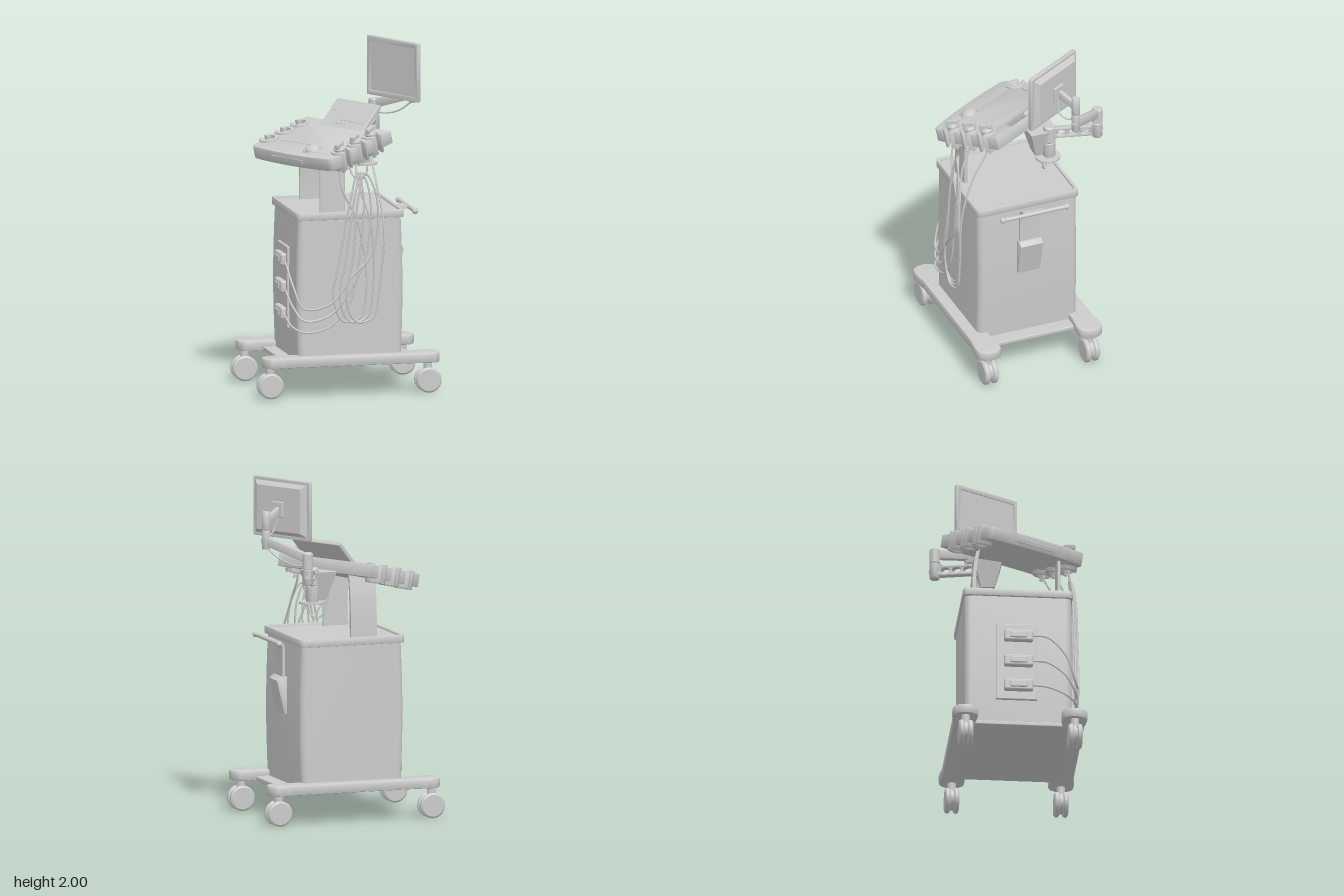
import * as THREE from 'three';
import { toCreasedNormals } from 'three/addons/utils/BufferGeometryUtils.js';
import { RoundedBoxGeometry } from 'three/addons/geometries/RoundedBoxGeometry.js';

const mat = new THREE.MeshStandardMaterial({ color: 0xcccccc, side: THREE.DoubleSide });
const V = (x, y, z) => new THREE.Vector3(x, y, z);

function add(parent, name, geo, x = 0, y = 0, z = 0) {
  const m = new THREE.Mesh(geo, mat);
  m.name = name;
  m.position.set(x, y, z);
  parent.add(m);
  return m;
}
function group(parent, name, x = 0, y = 0, z = 0) {
  const g = new THREE.Group();
  g.name = name;
  g.position.set(x, y, z);
  parent.add(g);
  return g;
}
const box = (w, h, d, r = 0.006) => new RoundedBoxGeometry(w, h, d, 2, r);
const cyl = (r, h, r2 = r) => new THREE.CylinderGeometry(r, r2, h, 28);
const lathe = pts => toCreasedNormals(new THREE.LatheGeometry(pts.map(p => new THREE.Vector2(...p)), 28).toNonIndexed(), 0.6);
// Extrusion along z with a small bevel kept inside the given depth
function extrude(shape, depth, bevel = 0, steps = 1) {
  const g = new THREE.ExtrudeGeometry(shape, { depth: depth - 2 * bevel, steps, curveSegments: 16,
    bevelEnabled: bevel > 0, bevelSize: bevel, bevelThickness: bevel, bevelOffset: -bevel, bevelSegments: 2 });
  g.translate(0, 0, bevel);
  return toCreasedNormals(g, 0.6);
}
// Plan shape (x, -z) raised from y0 to y0 + h
const slab = (shape, y0, h, bevel, steps) => extrude(shape, h, bevel, steps).rotateX(-Math.PI / 2).translate(0, y0, 0);
function roundRect(w, d, r, Type = THREE.Shape) {
  const s = new Type(), x = w / 2 - r, y = d / 2 - r;
  s.absarc(x, y, r, 0, Math.PI / 2);
  s.absarc(-x, y, r, Math.PI / 2, Math.PI);
  s.absarc(-x, -y, r, Math.PI, 1.5 * Math.PI);
  s.absarc(x, -y, r, 1.5 * Math.PI, 2 * Math.PI);
  s.closePath();
  return s;
}
const cord = (parent, name, pts, r = 0.006) => add(parent, name,
  new THREE.TubeGeometry(new THREE.CatmullRomCurve3(pts.map(p => V(...p))), pts.length * 12, r, 7));

// Rolling base: two rounded bars, a floor plate and four twin casters
function buildBase(root) {
  const g = group(root, 'base');
  add(g, 'floorPlate', box(0.77, 0.025, 0.66), 0.015, 0.193, 0.027);
  const bar = new THREE.Shape();
  bar.moveTo(-0.36, 0.064);
  bar.lineTo(0.36, 0.064);
  bar.bezierCurveTo(0.43, 0.074, 0.46, 0.078, 0.49, 0.07);
  bar.bezierCurveTo(0.54, 0.045, 0.54, -0.045, 0.49, -0.07);
  bar.bezierCurveTo(0.46, -0.078, 0.43, -0.074, 0.36, -0.064);
  bar.lineTo(-0.36, -0.064);
  bar.bezierCurveTo(-0.43, -0.074, -0.46, -0.078, -0.49, -0.07);
  bar.bezierCurveTo(-0.54, -0.045, -0.54, 0.045, -0.49, 0.07);
  bar.bezierCurveTo(-0.46, 0.078, -0.43, 0.074, -0.36, 0.064);
  for (const z of [0.345, -0.29]) {
    add(g, 'baseBar', slab(bar, 0.182, 0.058, 0.01), 0.01, 0, z);
    for (const x of [-0.47, 0.47]) {
      const c = group(g, 'caster', x, 0, z);
      add(c, 'stem', cyl(0.025, 0.07), 0, 0.16, 0);
      add(c, 'hub', cyl(0.06, 0.03).rotateX(Math.PI / 2), 0, 0.078, 0);
      for (const s of [-1, 1]) add(c, 'wheel', lathe([[0, -0.016], [0.064, -0.016], [0.074, -0.008], [0.074, 0.008], [0.064, 0.016], [0, 0.016]])
        .rotateX(Math.PI / 2), 0, 0.075, s * 0.025);
    }
  }
}

// Cabinet with gently bulged sides, rimmed lid, side handle, holster and sockets
function buildCabinet(root) {
  const g = group(root, 'cabinet', 0.01, 0, 0.03);
  const body = slab(roundRect(0.61, 0.62, 0.035), 0.2, 0.84, 0, 10), p = body.attributes.position;
  for (let i = 0; i < p.count; i++) {
    const t = (p.getY(i) - 0.2) / 0.84;
    p.setX(i, p.getX(i) * (0.985 + 0.055 * Math.sin(Math.PI * (0.1 + 0.8 * t))));
  }
  add(g, 'cabinetBody', toCreasedNormals(body, 0.6));
  const rim = roundRect(0.64, 0.637, 0.025);
  rim.holes.push(roundRect(0.6, 0.597, 0.02, THREE.Path));
  add(g, 'lidRim', slab(rim, 1.033, 0.045, 0.004));
  add(g, 'lidTop', box(0.61, 0.03, 0.607), 0, 1.05, 0);

  const h = group(root, 'sideHandle');
  const wedge = new THREE.Shape([[0.32, 0.83], [0.36, 0.83], [0.388, 0.81], [0.34, 0.61], [0.32, 0.61]].map(q => new THREE.Vector2(...q)));
  add(h, 'holster', extrude(wedge, 0.14, 0.004), 0, 0, -0.038);
  const strap = new THREE.Shape();
  strap.moveTo(0.335, 0.8);
  strap.lineTo(0.335, 0.99);
  strap.quadraticCurveTo(0.34, 1.052, 0.42, 1.052);
  strap.lineTo(0.42, 1.04);
  strap.quadraticCurveTo(0.352, 1.038, 0.35, 0.99);
  strap.lineTo(0.35, 0.8);
  add(h, 'handleBracket', extrude(strap, 0.125), 0, 0, -0.032);
  add(h, 'handleBar', cyl(0.012, 0.4).rotateX(Math.PI / 2), 0.422, 1.046, 0.03);
  for (const z of [-0.17, 0.23]) add(h, 'handleKnob', new THREE.SphereGeometry(0.018, 18, 12), 0.422, 1.046, z);

  add(root, 'socketPanel', box(0.02, 0.48, 0.24), -0.308, 0.61, 0.02);
  for (const y of [0.77, 0.61, 0.455]) {
    add(root, 'plug', box(0.04, 0.07, 0.17, 0.012), -0.33, y, 0.03);
    add(root, 'plugGrip', box(0.02, 0.04, 0.1, 0.008), -0.347, y, 0.03);
  }
}

// Two upright plates carrying the console
function buildColumn(root) {
  const g = group(root, 'column');
  add(g, 'frontUpright', box(0.15, 0.31, 0.02), -0.085, 1.21, 0.28);
  const s = new THREE.Shape();
  s.moveTo(-0.205, 1.05);
  s.bezierCurveTo(-0.205, 1.25, -0.195, 1.32, -0.17, 1.43);
  s.lineTo(-0.19, 1.435);
  s.bezierCurveTo(-0.215, 1.32, -0.225, 1.25, -0.225, 1.05);
  add(g, 'rearUpright', extrude(s, 0.16).rotateY(-Math.PI / 2), 0, 0, 0);
}

// Control console, turned to the side and tilted toward the user
function buildConsole(root) {
  const yaw = group(root, 'console', -0.1, 0, 0.03);
  yaw.rotation.y = -Math.PI / 3;
  const deck = group(yaw, 'consoleDeck', 0, 1.46, 0);
  deck.rotation.x = 0.243;
  const R = 0.036, w = 0.016, a = Math.asin(w / R), rows = [0.135, 0.01, -0.118];
  const s = new THREE.Shape();
  s.moveTo(-0.348, 0.245);
  for (const y of rows) {
    s.lineTo(-0.345, y + w);
    s.absarc(-0.3, y, R, Math.PI - a, a - Math.PI, true);
    s.lineTo(-0.345, y - w);
  }
  s.lineTo(-0.335, -0.205);
  s.quadraticCurveTo(-0.33, -0.235, -0.3, -0.24);
  s.quadraticCurveTo(0, -0.275, 0.3, -0.24);
  s.quadraticCurveTo(0.33, -0.235, 0.335, -0.205);
  for (const y of [...rows].reverse()) {
    s.lineTo(0.345, y - w);
    s.absarc(0.3, y, R, -a, a, true);
    s.lineTo(0.345, y + w);
  }
  s.lineTo(0.348, 0.245);
  s.closePath();
  add(deck, 'deckBody', slab(s, -0.076, 0.076, 0.005));

  // Open collars in both side edges; the probes rest on one side
  const b = Math.asin(w / 0.058), c = new THREE.Shape();
  c.absarc(0, 0, 0.058, b, 2 * Math.PI - b, false);
  c.absarc(0, 0, R, 2 * Math.PI - a, a, true);
  c.closePath();
  for (const y of rows) for (const side of [-1, 1]) {
    const m = add(deck, 'probeHolder', slab(c, -0.1, 0.112, 0.004), side * 0.3, 0, -y);
    if (side < 0) { m.rotation.y = Math.PI; continue; }
    const pr = group(deck, 'probe', 0.296, 0, -y);
    add(pr, 'probeBody', lathe([[0, -0.13], [0.01, -0.13], [0.014, -0.09], [0.026, -0.05], [0.033, 0], [0.036, 0.018], [0.03, 0.03], [0, 0.036]]));
    add(pr, 'probeHead', box(0.03, 0.03, 0.075, 0.008), 0, 0.042, 0).rotation.y = 0.35;
  }
  add(deck, 'trackballRing', new THREE.TorusGeometry(0.051, 0.006, 8, 32).rotateX(Math.PI / 2), 0.1, 0, 0.153);
  add(deck, 'trackball', new THREE.SphereGeometry(0.046, 28, 14).scale(1, 0.6, 1), 0.1, 0, 0.153);
  for (let i = 0; i < 16; i++) add(deck, 'key', new THREE.BoxGeometry(0.007, 0.004, 0.006), -0.19 + i * 0.0153, 0.001, 0.1);
  add(deck, 'frontTray', box(0.26, 0.028, 0.02, 0.004), -0.02, -0.04, 0.249);

  // Small touch panel leaning back at the rear edge
  const panel = group(yaw, 'touchPanel', 0.003, 1.562, -0.25);
  panel.rotation.x = -Math.PI / 4;
  add(panel, 'panelCase', box(0.355, 0.026, 0.2).rotateX(Math.PI / 2), 0, 0, 0).rotation.x = 0;
  add(panel, 'panelScreen', box(0.2, 0.12, 0.004, 0.001), 0.045, 0.012, 0.013);
  for (let i = 0; i < 4; i++) add(panel, 'panelButton', cyl(0.006, 0.006).rotateX(Math.PI / 2), -0.08 + i * 0.028, -0.068, 0.014);
  add(panel, 'panelKnob', cyl(0.01, 0.006).rotateX(Math.PI / 2), -0.145, 0.02, 0.014);
}

// Flat arm between two points, with oval cut-outs
function arm(parent, name, from, to, h, t, holes) {
  const d = to.clone().sub(from), L = d.length(), s = new THREE.Shape();
  s.absarc(0, 0, h / 2, Math.PI / 2, 1.5 * Math.PI);
  s.absarc(L, 0, h / 2, -Math.PI / 2, Math.PI / 2);
  s.closePath();
  for (let i = 0; i < holes; i++) {
    const e = new THREE.Path();
    e.absellipse(L * (i + 1) / (holes + 1), 0, 0.028, h * 0.27, 0, 2 * Math.PI, true);
    s.holes.push(e);
  }
  const m = add(parent, name, extrude(s, t, 0.004).translate(0, 0, -t / 2), from.x, from.y, from.z);
  m.rotation.set(0, Math.atan2(-d.z, d.x), Math.asin(d.y / L), 'YZX');
}

// Jointed monitor arm and the monitor
function buildMonitor(root) {
  const g = group(root, 'monitorArm');
  const mount = new THREE.CylinderGeometry(0.12, 0.055, 0.17, 4, 1).rotateY(Math.PI / 4).toNonIndexed();
  mount.computeVertexNormals();
  add(g, 'armMount', mount, 0.16, 1.37, -0.11);
  add(g, 'mountPlate', cyl(0.075, 0.012), 0.21, 1.275, -0.14);
  const joints = [['basePost', 0.21, -0.15, 1.27, 1.48, 0.036], ['elbowPost', 0.33, -0.4, 1.42, 1.61, 0.031], ['headPost', 0.51, -0.19, 1.61, 1.83, 0.025]];
  for (const [n, x, z, y0, y1, r] of joints) {
    const H = y1 - y0;
    add(g, n, lathe([[0, 0], [r * 0.85, 0], [r, 0.008], [r, H * 0.48], [r * 0.9, H * 0.5], [r, H * 0.52], [r, H - 0.008], [r * 0.8, H], [0, H]]), x, y0, z);
  }
  arm(g, 'lowerArm', V(0.21, 1.435, -0.15), V(0.33, 1.465, -0.4), 0.065, 0.036, 3);
  arm(g, 'upperArm', V(0.33, 1.575, -0.4), V(0.51, 1.66, -0.19), 0.052, 0.036, 0);
  arm(g, 'headArm', V(0.51, 1.77, -0.19), V(0.415, 1.82, -0.13), 0.045, 0.026, 0);
  cord(g, 'armCable', [[0.33, 1.53, -0.4], [0.39, 1.53, -0.33], [0.45, 1.56, -0.25], [0.5, 1.61, -0.2]], 0.005);
  cord(g, 'headCable', [[0.51, 1.72, -0.19], [0.49, 1.68, -0.16], [0.44, 1.7, -0.12], [0.41, 1.78, -0.12]], 0.005);
  cord(g, 'mountCable', [[0.22, 1.28, -0.1], [0.21, 1.21, -0.11], [0.18, 1.18, -0.13], [0.14, 1.21, -0.15], [0.1, 1.4, -0.14]], 0.005);

  const m = group(root, 'monitor', 0.375, 1.828, -0.1);
  m.rotation.y = -Math.PI / 3;
  const frame = roundRect(0.426, 0.345, 0.008);
  frame.holes.push(roundRect(0.372, 0.29, 0.004, THREE.Path));
  add(m, 'bezel', extrude(frame, 0.026, 0.003), 0, 0, -0.012);
  add(m, 'screen', box(0.38, 0.3, 0.016, 0.002), 0, 0, 0);
  const back = new THREE.CylinderGeometry(Math.SQRT1_2, 0.84 * Math.SQRT1_2, 1, 4).rotateY(Math.PI / 4)
    .rotateX(Math.PI / 2).scale(0.39, 0.31, 0.028).toNonIndexed();
  back.computeVertexNormals();
  add(m, 'monitorBack', back, 0, 0, -0.025);
  add(m, 'mountingPad', box(0.08, 0.09, 0.02), 0, 0, -0.044);
}

// Probe leads: from each plug, round the front corner, looped and up to a probe
function buildLeads(root) {
  const g = group(root, 'probeLeads');
  const ends = [[-0.055, 1.31, 0.345], [0.055, 1.34, 0.285], [0.165, 1.37, 0.22]];
  const plugs = [0.455, 0.61, 0.77];
  ends.forEach(([x, y, z], i) => {
    const yc = plugs[i], low = 0.37 + i * 0.07, o = i * 0.035, f = 0.37 + i * 0.012;
    cord(g, 'probeLead', [
      [-0.335, yc, 0.11], [-0.34, yc - 0.01, 0.2], [-0.325, yc - 0.05 - o, 0.31], [-0.27, low + 0.01, 0.365],
      [-0.12, low + 0.04, f], [0.0, low + 0.19, f + 0.01], [0.06 + o, 0.85, f + 0.01], [0.08 + o, 1.18, f],
      [0.05 + o / 2, 1.31, f - 0.015], [0.01 + o / 2, 1.18, f], [-0.06 + o, 0.82, f + 0.01], [-0.1 + o, 0.58, f + 0.01],
      [-0.04 + o, 0.44, f + 0.005], [0.06 + o, 0.46, f], [0.1 + o, 0.64, f],
      [(x + 0.12 + o) / 2 + 0.02, 1.0, f - 0.005], [x + 0.01, 1.22, (z + f) / 2], [x, y, z], [x, y + 0.05, z]]);
  });
}

export function createModel() {
  const root = new THREE.Group();
  root.name = 'ultrasoundCart';
  buildBase(root);
  buildCabinet(root);
  buildColumn(root);
  buildConsole(root);
  buildMonitor(root);
  buildLeads(root);
  return root;
}
